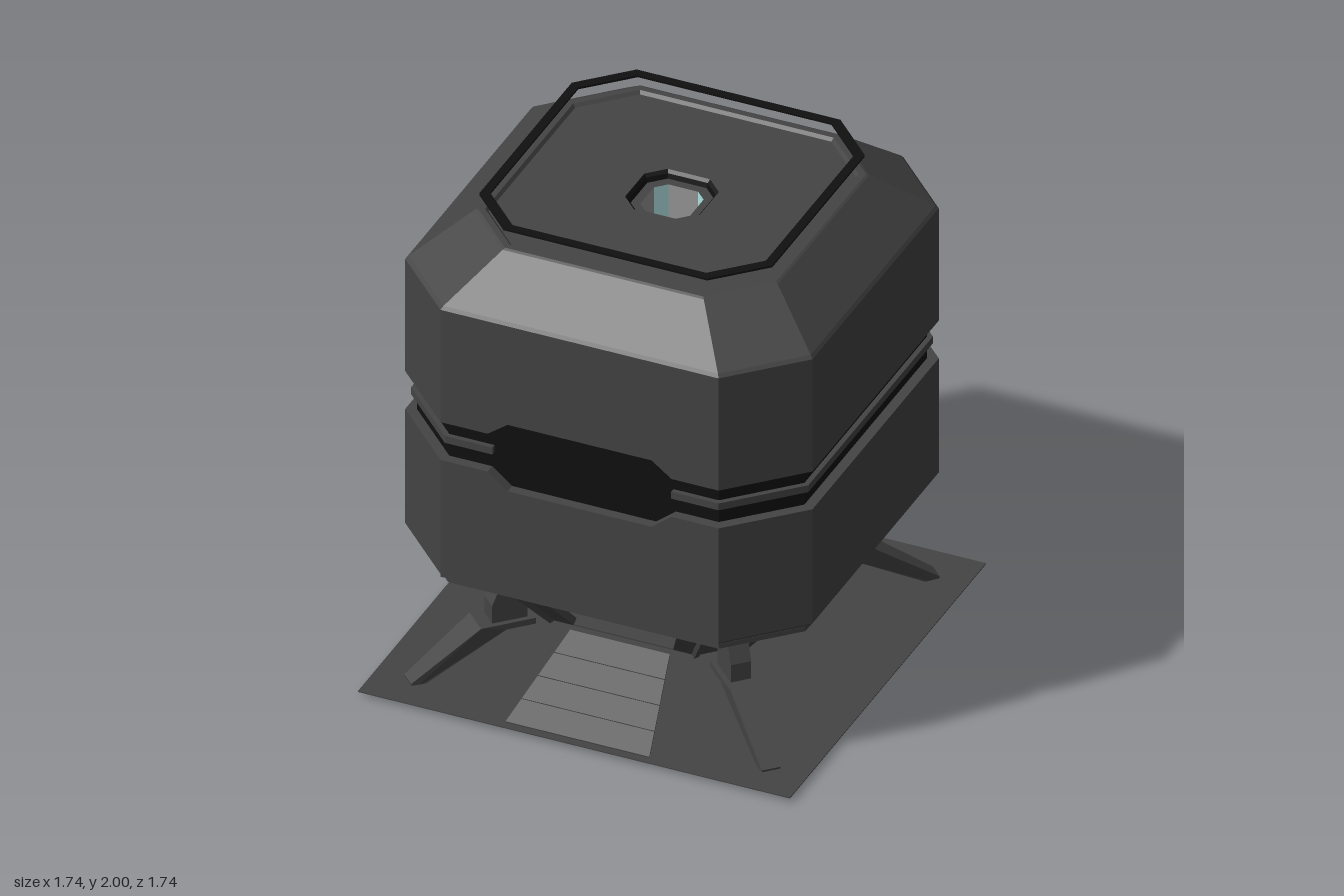
import * as THREE from 'three';

const mat = (color) => new THREE.MeshStandardMaterial({ color, flatShading: true, side: THREE.DoubleSide });

// Corner of a chamfered square: half size a, flat sides reaching to b
const corner = (a, b, i) => [[a, b], [b, a], [-b, a], [-a, b], [-a, -b], [-b, -a], [b, -a], [a, -b]][i % 8];

// Chamfered-square loft; profile rows are [a, b, y]; facet 1 is the front, 5 the back
function loft(profile, facets = [0, 1, 2, 3, 4, 5, 6, 7]) {
  const pos = [];
  for (let r = 0; r < profile.length - 1; r++) {
    for (const i of facets) {
      const p = (row, k) => {
        const [a, b, y] = profile[row];
        const [x, z] = corner(a, b, k);
        return [x, y, z];
      };
      const A = p(r, i), B = p(r + 1, i), C = p(r + 1, i + 1), D = p(r, i + 1);
      pos.push(...A, ...B, ...C, ...A, ...C, ...D);
    }
  }
  const g = new THREE.BufferGeometry();
  g.setAttribute('position', new THREE.Float32BufferAttribute(pos, 3));
  g.computeVertexNormals();
  return g;
}

// Flat polygon given thickness from z0 to z0 + depth
function slab(points, depth, z0) {
  const shape = new THREE.Shape(points.map(([x, y]) => new THREE.Vector2(x, y)));
  return new THREE.ExtrudeGeometry(shape, { depth, bevelEnabled: false }).translate(0, 0, z0);
}

export function createModel() {
  const root = new THREE.Group();
  const body = mat(0x444444), black = mat(0x101010), grey = mat(0x999999), glass = mat(0xaee0e0);
  const add = (name, geo, material, parent = root) => {
    const m = new THREE.Mesh(geo, material);
    m.name = name;
    parent.add(m);
    return m;
  };
  const notFront = [0, 2, 3, 4, 5, 6, 7], sidesOnly = [0, 2, 3, 4, 6, 7];

  // Ground sheet
  add('groundSheet', new THREE.BoxGeometry(1.74, 0.004, 1.74).translate(0, 0.02, 0), body);

  // Tapered base with an open front
  add('base', loft([[0.43, 0.29, 0.23], [0.6, 0.4, 0.45]], notFront), body);
  add('baseFloor', loft([[0, 0, 0.228], [0.43, 0.29, 0.228], [0.43, 0.29, 0.234], [0, 0, 0.234]]), body);
  const frame = add('doorFrame', slab([[-0.29, 0], [-0.2, 0], [-0.29, 0.25], [0.29, 0.25], [0.2, 0],
    [0.29, 0], [0.4, 0.278], [-0.4, 0.278]], 0.03, -0.03), body);
  frame.position.set(0, 0.23, 0.43);
  frame.rotation.x = Math.atan2(0.17, 0.22);
  for (let i = 0; i < 8; i++) {
    const [x0, z0] = corner(0.43, 0.29, i), [x1, z1] = corner(0.595, 0.4, i);
    const path = new THREE.LineCurve3(new THREE.Vector3(x0, 0.23, z0), new THREE.Vector3(x1, 0.44, z1));
    add('baseRib', new THREE.TubeGeometry(path, 1, 0.015, 4), body);
  }

  // Entrance room
  add('roomWalls', loft([[0.4, 0.27, 0.235], [0.55, 0.37, 0.43]], notFront), grey);
  add('roomCeiling', loft([[0.1, 0.06, 0.435], [0.57, 0.38, 0.435]]), grey);

  // Lift shaft with glass corners
  const shaft = [[0.1, 0.06, 0.235], [0.1, 0.06, 1.88]];
  add('shaftWalls', loft(shaft, [1, 3, 5, 7]), grey);
  add('shaftGlass', loft(shaft, [0, 2, 4, 6]), glass);

  // Skirt under the hull
  add('skirt', loft([[0.6, 0.4, 0.45], [0.785, 0.545, 0.535], [0.785, 0.545, 0.555], [0.77, 0.54, 0.56]]), body);
  add('skirtGap', loft([[0.77, 0.54, 0.555], [0.77, 0.54, 0.58]]), black);

  // Dark core showing in the groove, with a narrow ring broken by the windows
  add('grooveCore', loft([[0.78, 0.543, 0.6], [0.78, 0.543, 1.72]]), black);
  add('grooveRing', loft([[0.78, 0.543, 1.15], [0.8, 0.552, 1.15], [0.8, 0.552, 1.18], [0.78, 0.543, 1.18]], sidesOnly), body);
  for (const sx of [-1, 1]) for (const sz of [-1, 1]) {
    add('grooveRingEnd', new THREE.BoxGeometry(0.19, 0.03, 0.02).translate(sx * 0.455, 1.165, sz * 0.79), body);
  }

  // Hull halves: plain sides, notched front and back panels
  add('lowerHull', loft([[0.76, 0.535, 0.575], [0.812, 0.557, 0.575], [0.82, 0.56, 0.587], [0.82, 0.56, 1.085],
    [0.78, 0.543, 1.085]], sidesOnly), body);
  add('upperHull', loft([[0.78, 0.543, 1.25], [0.82, 0.56, 1.25], [0.82, 0.56, 1.74]], sidesOnly), body);
  const lowerPanel = [[-0.56, 0.575], [0.56, 0.575], [0.56, 1.085], [0.37, 1.085], [0.29, 1.02],
    [-0.29, 1.02], [-0.37, 1.085], [-0.56, 1.085]];
  const upperPanel = [[-0.56, 1.74], [-0.56, 1.25], [-0.37, 1.25], [-0.29, 1.31], [0.29, 1.31],
    [0.37, 1.25], [0.56, 1.25], [0.56, 1.74]];
  for (const turn of [0, Math.PI]) {
    add('lowerNotchedPanel', slab(lowerPanel, 0.045, 0.775).rotateY(turn), body);
    add('upperNotchedPanel', slab(upperPanel, 0.045, 0.775).rotateY(turn), body);
  }

  // Sloped shoulders and roof with a stepped opening
  add('shoulders', loft([[0.82, 0.56, 1.74], [0.81, 0.553, 1.753], [0.61, 0.405, 1.92], [0.6, 0.4, 1.925],
    [0.575, 0.39, 1.925], [0.565, 0.385, 1.912]]), body);
  add('roof', loft([[0.565, 0.385, 1.912], [0.15, 0.085, 1.912]]), body);
  add('openingRim', loft([[0.15, 0.085, 1.912], [0.14, 0.08, 1.9], [0.135, 0.078, 1.88]]), black);
  add('openingLedge', loft([[0.135, 0.078, 1.88], [0.1, 0.06, 1.88]]), body);

  // Floating rail over the roof edge
  add('roofRail', loft([[0.555, 0.39, 1.992], [0.59, 0.41, 1.992], [0.59, 0.41, 2], [0.555, 0.39, 2],
    [0.555, 0.39, 1.992]]), black);

  // Entrance ramp in four panels
  for (let k = 0; k < 4; k++) {
    const g = new THREE.BoxGeometry(1, 0.008, 1);
    const p = g.attributes.position;
    for (let i = 0; i < p.count; i++) {
      const t = (k + 0.5 + p.getZ(i) * 0.97) / 4;
      p.setXYZ(i, p.getX(i) * (0.4 + 0.18 * t), 0.226 - 0.204 * t + p.getY(i), 0.46 + 0.38 * t);
    }
    g.computeVertexNormals();
    add('rampPanel', g, body);
  }

  // Four diagonal landing legs, narrowing to the foot
  for (let k = 0; k < 4; k++) {
    const leg = new THREE.Group();
    leg.name = 'leg';
    leg.rotation.y = Math.PI / 4 + k * Math.PI / 2;
    const g = slab([[0.555, 0.2], [0.67, 0.2], [0.99, 0.015], [0.99, 0], [1.03, 0], [1.035, 0.03],
      [0.77, 0.225], [0.555, 0.225]], 0.12, -0.06);
    const p = g.attributes.position;
    for (let i = 0; i < p.count; i++) {
      const t = Math.max(0, (p.getX(i) - 0.77) / 0.26);
      p.setZ(i, p.getZ(i) * (1 - 0.4 * Math.min(t, 1)));
    }
    g.computeVertexNormals();
    add('strut', g, body, leg);
    add('legBracket', slab([[0.58, 0.22], [0.72, 0.22], [0.72, 0.3], [0.69, 0.37], [0.58, 0.37]], 0.08, -0.04), body, leg);
    root.add(leg);
  }
  return root;
}
